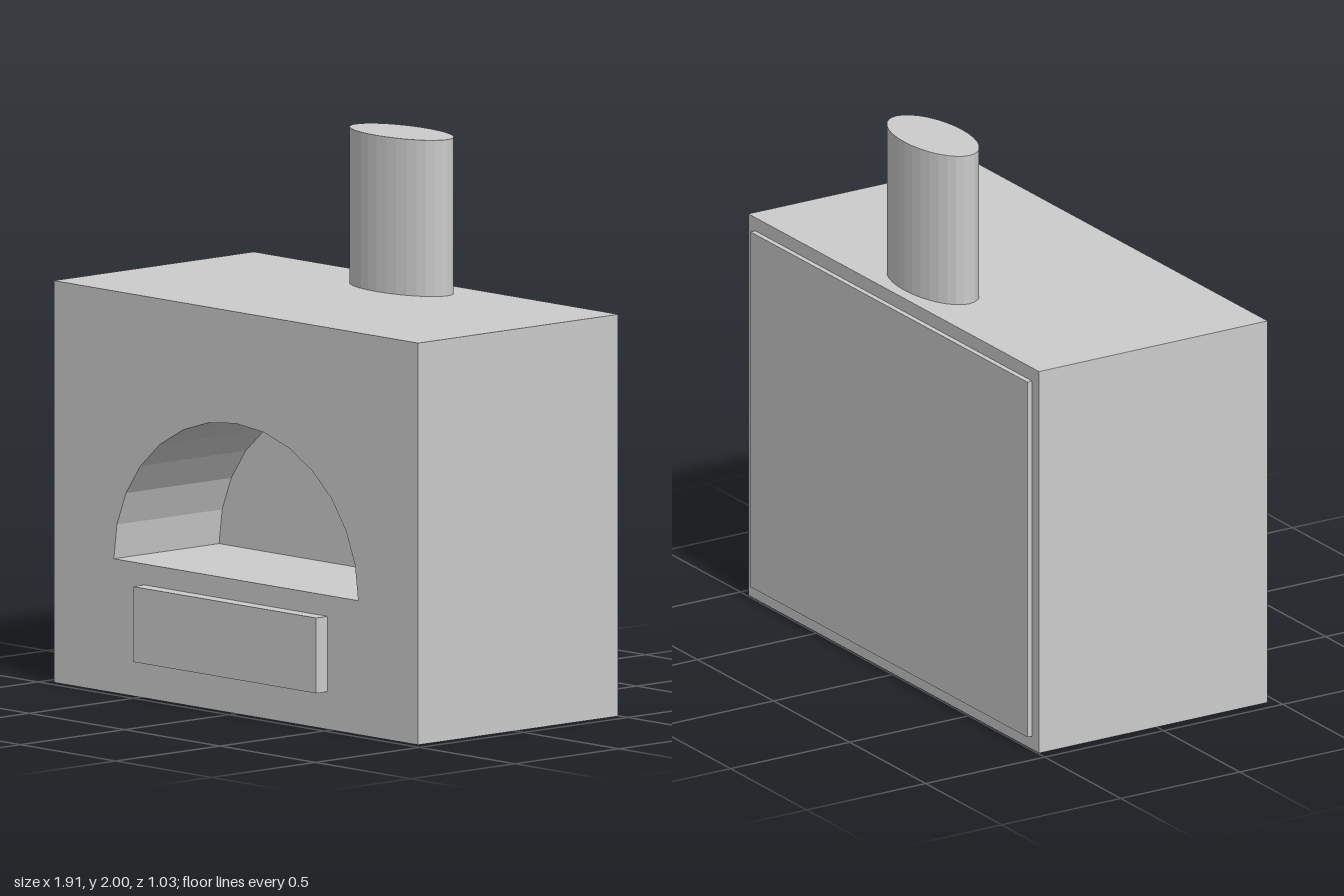
import * as THREE from 'three';

export function createModel() {
  const group = new THREE.Group();
  group.name = 'oven';
  const material = new THREE.MeshStandardMaterial({ color: 0xcccccc, flatShading: true });

  const add = (name, geometry, x, y, z) => {
    const mesh = new THREE.Mesh(geometry, material);
    mesh.name = name;
    mesh.position.set(x, y, z);
    group.add(mesh);
    return mesh;
  };
  // Box given by its width, vertical range and depth range
  const addBox = (name, width, y0, y1, z0, z1) =>
    add(name, new THREE.BoxGeometry(width, y1 - y0, z1 - z0), 0, (y0 + y1) / 2, (z0 + z1) / 2);

  const width = 1.91, height = 1.44;
  const frontZ = 0.465, recessZ = -0.04, backZ = -0.495;

  // Front half of the body, with the arched firebox opening cut through it
  const wall = new THREE.Shape([
    new THREE.Vector2(-width / 2, 0),
    new THREE.Vector2(width / 2, 0),
    new THREE.Vector2(width / 2, height),
    new THREE.Vector2(-width / 2, height),
  ]);
  const arch = [];
  const steps = 14;
  for (let i = 0; i <= steps; i++) {
    const a = (i / steps) * Math.PI;
    arch.push(new THREE.Vector2(0.64 * Math.cos(a), 0.48 + 0.56 * Math.sin(a)));
  }
  wall.holes.push(new THREE.Path(arch));
  add('bodyFront',
    new THREE.ExtrudeGeometry(wall, { depth: frontZ - recessZ, bevelEnabled: false }),
    0, 0, recessZ);

  // Solid rear half closes the firebox
  addBox('bodyRear', width, 0, height, backZ, recessZ);

  // Raised panels on the back and front
  addBox('backPanel', 1.82, 0.05, 1.39, -0.515, backZ);
  addBox('ashDrawer', 0.96, 0.135, 0.405, frontZ, 0.52);

  // Oval chimney
  const chimney = add('chimney', new THREE.CylinderGeometry(1, 1, 0.56, 32), 0, 1.72, -0.33);
  chimney.scale.set(0.24, 1, 0.12);

  return group;
}
